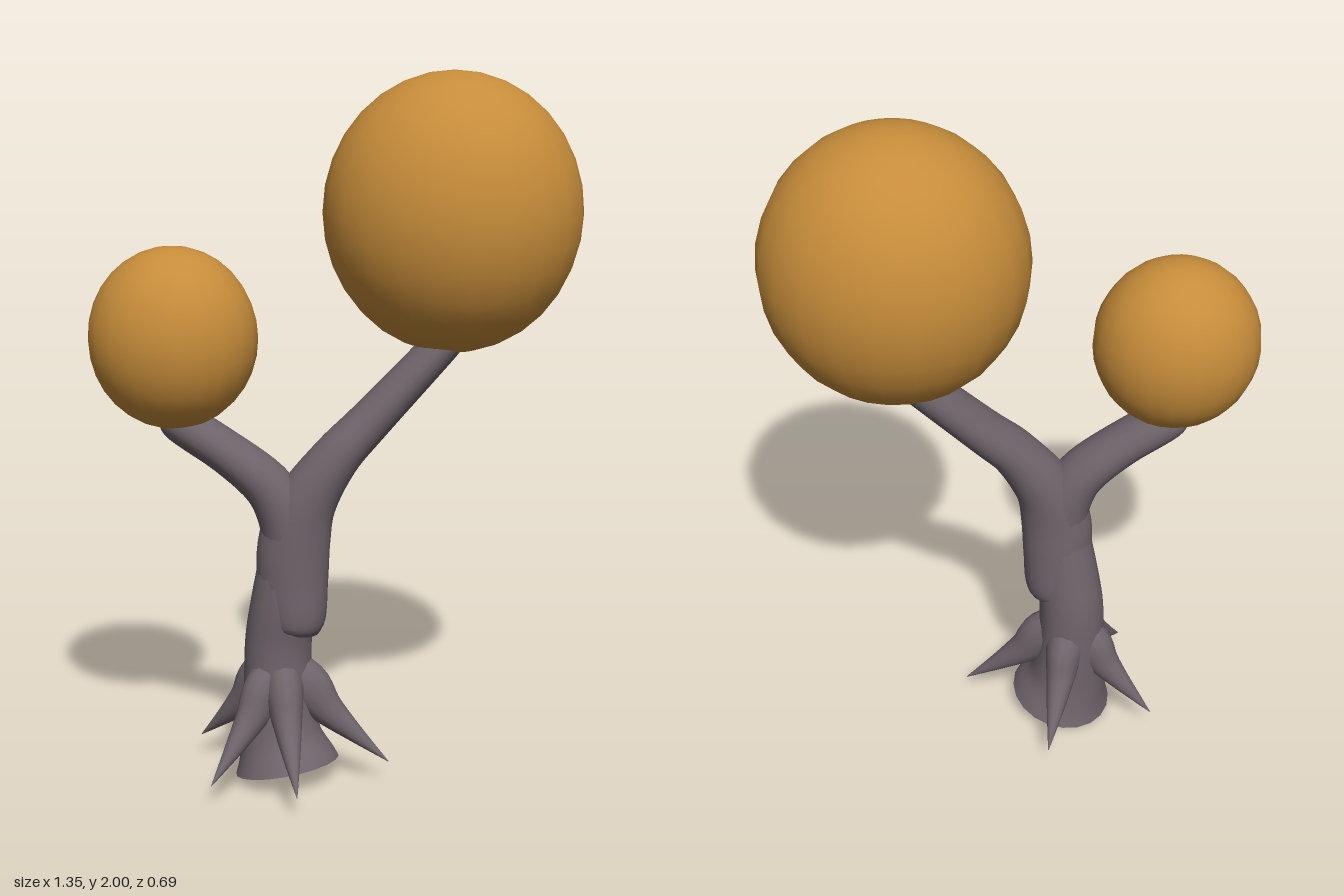
import * as THREE from 'three';

const bark = new THREE.MeshStandardMaterial({ color: 0x6e646b });
bark.name = 'greyBark';
const foliage = new THREE.MeshStandardMaterial({ color: 0xc68c3a });
foliage.name = 'amberFoliage';

// Smooth tube through stations [x, y, z, radiusA, radiusB], with flat end caps.
// radiusB lies along ref, radiusA across it.
function loft(stations, ref = new THREE.Vector3(0, 0, 1), sides = 20, steps = 5) {
  const smooth = (pts) => new THREE.CatmullRomCurve3(pts, false, 'catmullrom', 0.5);
  const path = smooth(stations.map((s) => new THREE.Vector3(s[0], s[1], s[2])));
  const radii = smooth(stations.map((s) => new THREE.Vector3(s[3], s[4], 0)));
  const rings = (stations.length - 1) * steps;
  const pos = [];
  const index = [];
  for (let i = 0; i <= rings; i++) {
    const c = path.getPoint(i / rings);
    const r = radii.getPoint(i / rings);
    const t = path.getTangent(i / rings);
    const u = new THREE.Vector3().crossVectors(t, ref).normalize();
    const v = new THREE.Vector3().crossVectors(u, t).normalize();
    for (let j = 0; j < sides; j++) {
      const a = (j / sides) * Math.PI * 2;
      const p = c.clone()
        .addScaledVector(u, Math.cos(a) * r.x)
        .addScaledVector(v, Math.sin(a) * r.y);
      pos.push(p.x, p.y, p.z);
      if (i < rings) {
        const k = i * sides + j;
        const n = i * sides + ((j + 1) % sides);
        index.push(k, k + sides, n, n, k + sides, n + sides);
      }
    }
  }
  // End caps use their own vertices so the rim stays sharp
  for (const end of [0, rings]) {
    const base = pos.length / 3;
    pos.push(...path.getPoint(end / rings).toArray());
    for (let j = 0; j < sides; j++) {
      const k = (end * sides + j) * 3;
      pos.push(pos[k], pos[k + 1], pos[k + 2]);
      const p = base + 1 + j;
      const n = base + 1 + ((j + 1) % sides);
      index.push(base, ...(end === 0 ? [p, n] : [n, p]));
    }
  }
  const g = new THREE.BufferGeometry();
  g.setAttribute('position', new THREE.Float32BufferAttribute(pos, 3));
  g.setIndex(index);
  g.computeVertexNormals();
  return g;
}

export function createModel() {
  const tree = new THREE.Group();
  tree.name = 'tree';
  const add = (name, geometry, material) => {
    const m = new THREE.Mesh(geometry, material);
    m.name = name;
    tree.add(m);
    return m;
  };

  // Flared stump and lower trunk, with a slightly tilted base
  add('lowerTrunk', loft([
    [-0.14, 0.04, 0.05, 0.15, 0.152],
    [-0.157, 0.13, 0.035, 0.115, 0.115],
    [-0.165, 0.25, 0.025, 0.1, 0.1],
    [-0.165, 0.4, 0.023, 0.095, 0.093],
    [-0.15, 0.52, 0.035, 0.092, 0.09],
    [-0.13, 0.66, 0.045, 0.085, 0.08],
  ]), bark);

  // Upper trunk bulges out over the lower one and runs into the tall branch
  add('upperTrunkAndTallBranch', loft([
    [-0.115, 0.44, 0.045, 0.05, 0.05],
    [-0.113, 0.475, 0.045, 0.083, 0.086],
    [-0.122, 0.6, 0.045, 0.1, 0.087],
    [-0.115, 0.72, 0.048, 0.1, 0.084],
    [-0.08, 0.83, 0.047, 0.085, 0.083],
    [0, 0.95, 0.04, 0.068, 0.08],
    [0.09, 1.045, 0.02, 0.06, 0.077],
    [0.275, 1.24, -0.015, 0.052, 0.075],
    [0.31, 1.28, -0.02, 0.05, 0.07],
  ]), bark);

  add('shortBranch', loft([
    [-0.12, 0.7, 0.048, 0.085, 0.08],
    [-0.145, 0.79, 0.049, 0.077, 0.08],
    [-0.195, 0.875, 0.05, 0.068, 0.078],
    [-0.3, 0.963, 0.052, 0.06, 0.074],
    [-0.43, 1.05, 0.05, 0.056, 0.068],
    [-0.46, 1.075, 0.05, 0.035, 0.045],
  ]), bark);

  // Pointed roots: [tip x, tip z], sharing one profile of [reach, y, height, width]
  const rootProfile = [
    [0, 0.31, 0.08, 0.065],
    [0.24, 0.275, 0.075, 0.055],
    [0.43, 0.213, 0.05, 0.042],
    [0.7, 0.142, 0.025, 0.024],
    [1, 0.068, 0.001, 0.001],
  ];
  const tips = [[0.15, 0.09], [-0.1, 0.345], [-0.34, 0.27], [-0.4, -0.1], [-0.08, -0.245]];
  const cx = -0.16;
  const cz = 0.025;
  for (const [x, z] of tips) {
    const dx = x - cx;
    const dz = z - cz;
    const across = new THREE.Vector3(dz, 0, -dx).normalize();
    const stations = rootProfile.map(([s, y, a, b]) => [cx + dx * s, y, cz + dz * s, a, b]);
    add('root', loft(stations, across, 14, 4), bark);
  }

  // Egg-round foliage crowns
  const crown = (name, centre, size) => {
    const m = add(name, new THREE.SphereGeometry(1, 22, 16), foliage);
    m.position.set(...centre);
    m.scale.set(...size);
  };
  crown('largeCrown', [0.317, 1.617, -0.04], [0.356, 0.383, 0.312]);
  crown('smallCrown', [-0.443, 1.288, 0.066], [0.232, 0.25, 0.203]);

  return tree;
}
